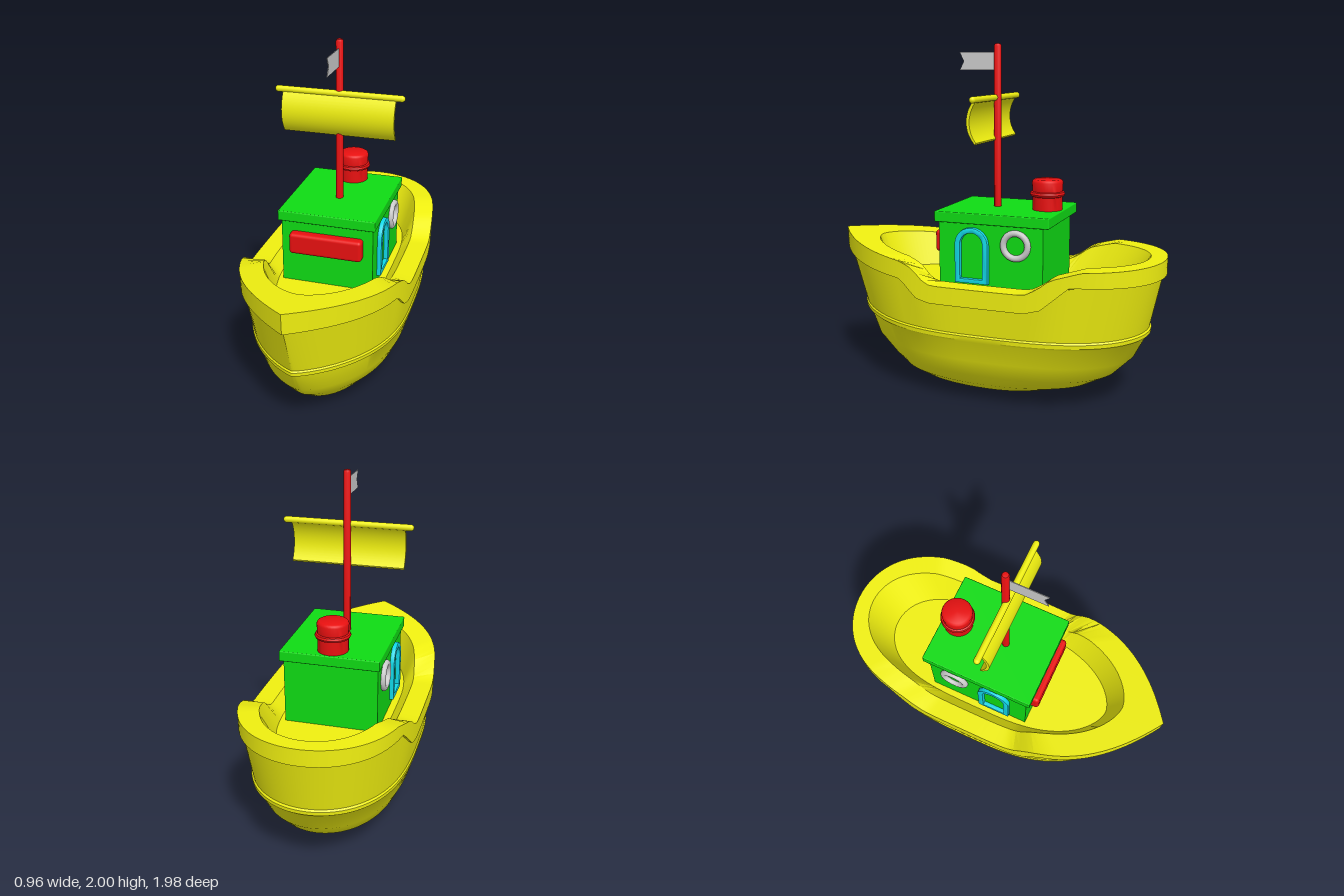
import * as THREE from 'three';
import { toCreasedNormals } from 'three/addons/utils/BufferGeometryUtils.js';
import { RoundedBoxGeometry } from 'three/addons/geometries/RoundedBoxGeometry.js';

const paint = (color, side = THREE.FrontSide) => new THREE.MeshStandardMaterial({ color, side });
const yellow = paint(0xf0f010), red = paint(0xe81010), green = paint(0x0fdc14);
const cyan = paint(0x10d8e8), grey = paint(0xcccccc);

function add(parent, name, geometry, material, x = 0, y = 0, z = 0) {
  const mesh = new THREE.Mesh(geometry, material);
  mesh.name = name;
  mesh.position.set(x, y, z);
  parent.add(mesh);
  return mesh;
}

// Piecewise linear height along z, points ordered from bow to stern
function heightAlong(points) {
  return (z) => {
    if (z >= points[0][0]) return points[0][1];
    for (let i = 1; i < points.length; i++) {
      const [z0, y0] = points[i - 1], [z1, y1] = points[i];
      if (z >= z1) return y0 + (y1 - y0) * (z - z0) / (z1 - z0);
    }
    return points[points.length - 1][1];
  };
}
const railTop = heightAlong([[0.99, 0.89], [0.4, 0.82], [0.32, 0.79], [0.24, 0.715], [0.2, 0.705],
  [-0.33, 0.705], [-0.4, 0.74], [-0.47, 0.795], [-0.63, 0.842], [-0.99, 0.85]]);
const railBottom = heightAlong([[0.99, 0.77], [0.4, 0.72], [0.3, 0.625], [0.22, 0.605],
  [-0.33, 0.605], [-0.42, 0.63], [-0.57, 0.76], [-0.99, 0.755]]);

// One plan outline: half width, bow and stern reach, bow and stern curve exponents
function outline({ w, f, b, bow = [3.1, 1], stern = 3.9, y }) {
  const n = 36, half = [];
  for (let i = 0; i <= 2 * n; i++) {
    const s = Math.sin(Math.PI / 2 * (1 - i / n));
    const k = Math.max(0, 1 - Math.abs(s) ** (s > 0 ? bow[0] : stern));
    const z = s > 0 ? s * f : s * b;
    const height = typeof y === 'function' ? y(z) : y;
    half.push([w * k ** (s > 0 ? bow[1] : 0.5), height, z]);
  }
  const mirrored = half.slice(1, -1).reverse().map(([x, h, z]) => [-x, h, z]);
  return [...half, ...mirrored];
}

// Skin between successive outlines
function loft(rings) {
  const pos = [], count = rings[0].length;
  const same = (p, q) => p.every((v, i) => Math.abs(v - q[i]) < 1e-6);
  const tri = (a, b, c) => {
    if (!same(a, b) && !same(b, c) && !same(a, c)) pos.push(...a, ...b, ...c);
  };
  for (let i = 0; i < rings.length - 1; i++) {
    for (let j = 0; j < count; j++) {
      const k = (j + 1) % count;
      tri(rings[i][j], rings[i][k], rings[i + 1][k]);
      tri(rings[i][j], rings[i + 1][k], rings[i + 1][j]);
    }
  }
  const g = new THREE.BufferGeometry();
  g.setAttribute('position', new THREE.Float32BufferAttribute(pos, 3));
  return toCreasedNormals(g, 0.5);
}

function buildHull() {
  const chine = (base) => (z) => base + 0.03 * Math.max(0, z) ** 2 + 0.01 * Math.min(0, z) ** 2;
  const round = { bow: [2, 0.5], stern: 2.2 };
  const mid = { bow: [2.3, 0.66], stern: 2.8 };
  const upper = { bow: [2.6, 0.8], stern: 3.3 };
  return loft([
    // underbody
    { w: 0, f: 0, b: 0, y: 0 },
    { w: 0.1, f: 0.32, b: 0.15, y: 0.008, ...round },
    { w: 0.2, f: 0.46, b: 0.37, y: 0.04, ...round },
    { w: 0.29, f: 0.57, b: 0.59, y: 0.1, ...round },
    { w: 0.365, f: 0.67, b: 0.73, y: 0.18, ...mid },
    { w: 0.41, f: 0.765, b: 0.83, y: 0.28, ...mid },
    { w: 0.442, f: 0.835, b: 0.895, y: chine(0.4), ...upper },
    // rubbing strake
    { w: 0.45, f: 0.86, b: 0.912, y: chine(0.412), ...upper },
    { w: 0.452, f: 0.862, b: 0.914, y: chine(0.434), ...upper },
    { w: 0.446, f: 0.855, b: 0.905, y: chine(0.444), ...upper },
    // topsides
    { w: 0.466, f: 0.965, b: 0.97, y: railBottom },
    // rail
    { w: 0.478, f: 0.985, b: 0.99, y: railBottom },
    { w: 0.48, f: 0.99, b: 0.99, y: railTop },
    // inner bulwark and deck
    { w: 0.365, f: 0.74, b: 0.9, y: railTop, bow: [2.6, 0.6], stern: 3.9 },
    { w: 0.305, f: 0.66, b: 0.76, y: 0.64, bow: [2.6, 0.6], stern: 3.9 },
    { w: 0, f: 0, b: 0, y: 0.64 },
  ].map(outline));
}

// Arched outline with its foot on y = 0
function arch(half, height, Path) {
  const p = new Path();
  p.moveTo(-half, 0);
  p.lineTo(half, 0);
  p.lineTo(half, height - half);
  p.absarc(0, height - half, half, 0, Math.PI, false);
  p.lineTo(-half, 0);
  return p;
}

function buildCabin() {
  const cabin = new THREE.Group();
  cabin.name = 'cabin';
  add(cabin, 'cabinWalls', new THREE.BoxGeometry(0.53, 0.4, 0.61), green, 0, 0.83, -0.065);
  add(cabin, 'cabinRoof', new RoundedBoxGeometry(0.56, 0.06, 0.67, 2, 0.006), green, 0, 1.05, -0.07);
  add(cabin, 'frontWindow', new RoundedBoxGeometry(0.42, 0.125, 0.07, 4, 0.02), red, 0, 0.895, 0.257);

  const frame = arch(0.098, 0.315, THREE.Shape);
  const opening = arch(0.066, 0.26, THREE.Path);
  frame.holes.push(new THREE.Path(opening.getPoints(16).map((p) => p.add(new THREE.Vector2(0, 0.025)))));
  const doorGeometry = toCreasedNormals(new THREE.ExtrudeGeometry(frame, {
    depth: 0.024, bevelEnabled: true, bevelSize: 0.004, bevelThickness: 0.006,
    bevelOffset: -0.004, bevelSegments: 2, curveSegments: 16,
  }), 0.6);
  for (const [side, label] of [[1, 'left'], [-1, 'right']]) {
    const door = add(cabin, label + 'DoorFrame', doorGeometry, cyan, side * 0.26, 0.685, 0.04);
    door.rotation.y = side * Math.PI / 2;
    const ring = add(cabin, label + 'Porthole', new THREE.TorusGeometry(0.07, 0.018, 12, 36), grey,
      side * 0.272, 0.915, -0.215);
    ring.rotation.y = side * Math.PI / 2;
  }
  return cabin;
}

function lathe(points) {
  const profile = points.map(([r, y]) => new THREE.Vector2(r, y));
  return toCreasedNormals(new THREE.LatheGeometry(profile, 32), 0.7);
}

function buildRig() {
  const rig = new THREE.Group();
  rig.name = 'rig';
  add(rig, 'mast', lathe([[0, 1.06], [0.021, 1.06], [0.021, 1.985], [0.016, 1.996], [0, 2]]), red, 0, 0, -0.01);
  const yard = add(rig, 'yard', new THREE.CapsuleGeometry(0.018, 0.7, 6, 16), yellow, 0, 1.7, 0);
  yard.rotation.z = Math.PI / 2;

  // Billowing sail: a crescent in (z, y) swept across x
  const crescent = new THREE.Shape();
  crescent.moveTo(0, 1.705);
  crescent.bezierCurveTo(0.066, 1.63, 0.066, 1.53, 0, 1.46);
  crescent.lineTo(-0.006, 1.47);
  crescent.bezierCurveTo(0.045, 1.535, 0.045, 1.625, -0.01, 1.695);
  const sailGeometry = new THREE.ExtrudeGeometry(crescent, { depth: 0.64, bevelEnabled: false, curveSegments: 16 });
  const sail = add(rig, 'sail', toCreasedNormals(sailGeometry, 0.6), yellow, 0.32, 0, 0);
  sail.rotation.y = -Math.PI / 2;

  // Swallowtail flag streaming forward
  const cloth = new THREE.Shape([[0, 1.85], [0.22, 1.85], [0.195, 1.9], [0.22, 1.95], [0, 1.95]]
    .map(([z, y]) => new THREE.Vector2(z, y)));
  const flag = add(rig, 'flag', new THREE.ExtrudeGeometry(cloth, { depth: 0.004, bevelEnabled: false }),
    grey, 0.002, 0, 0);
  flag.rotation.y = -Math.PI / 2;
  return rig;
}

export function createModel() {
  const boat = new THREE.Group();
  boat.name = 'boat';
  add(boat, 'hull', buildHull(), yellow);
  boat.add(buildCabin(), buildRig());
  add(boat, 'funnel', lathe([[0, 1.07], [0.085, 1.07], [0.085, 1.155], [0.094, 1.159], [0.099, 1.17],
    [0.094, 1.181], [0.085, 1.185], [0.088, 1.235], [0.084, 1.246], [0.074, 1.252], [0, 1.252]]),
  red, 0, 0, -0.31);
  return boat;
}
